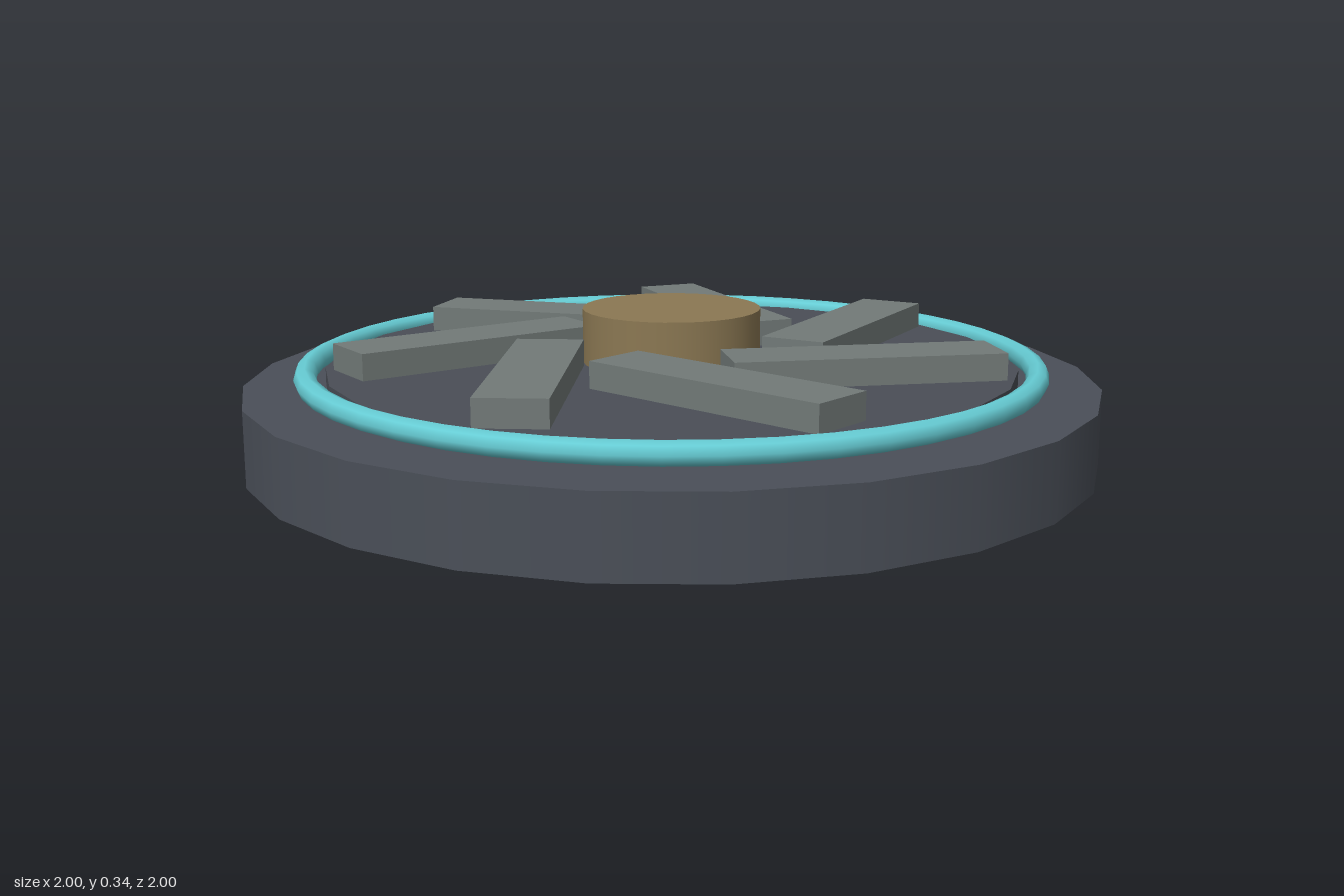
import * as THREE from 'three';

const mat = (name, color) => {
  const m = new THREE.MeshStandardMaterial({ color });
  m.name = name;
  return m;
};

export function createModel() {
  const model = new THREE.Group();
  model.name = 'finnedDisc';

  const baseMat = mat('slate', 0x4a4f58);
  const plateMat = mat('darkSlate', 0x4a4e56);
  const ringMat = mat('cyan', 0x66ccd4);
  const bladeMat = mat('greyGreen', 0x727a78);
  const hubMat = mat('bronze', 0x8b7853);

  const add = (name, geometry, material, y) => {
    const mesh = new THREE.Mesh(geometry, material);
    mesh.name = name;
    mesh.position.y = y;
    model.add(mesh);
    return mesh;
  };
  // upright disc between two heights
  const disc = (name, radius, y0, y1, sides, material) =>
    add(name, new THREE.CylinderGeometry(radius, radius, y1 - y0, sides), material, (y0 + y1) / 2);

  disc('base', 1, 0, 0.175, 24, baseMat);
  disc('innerPlate', 0.81, 0.17, 0.215, 24, plateMat);
  disc('hub', 0.21, 0.2, 0.342, 32, hubMat);

  // glowing rim ring
  const ring = new THREE.TorusGeometry(0.853, 0.026, 8, 48).rotateX(Math.PI / 2);
  add('rimRing', ring, ringMat, 0.209);

  // seven blades, each swept off the radius by the same angle
  const count = 7;
  const sweep = 0.62;
  const bladeGeometry = new THREE.BoxGeometry(0.625, 0.075, 0.157);
  for (let i = 0; i < count; i++) {
    const angle = Math.PI / 2 + (i / count) * Math.PI * 2;
    const blade = add('blade' + (i + 1), bladeGeometry, bladeMat, 0.2395);
    blade.position.x = Math.cos(angle) * 0.48;
    blade.position.z = Math.sin(angle) * 0.48;
    blade.rotation.y = sweep - angle;
  }

  return model;
}
